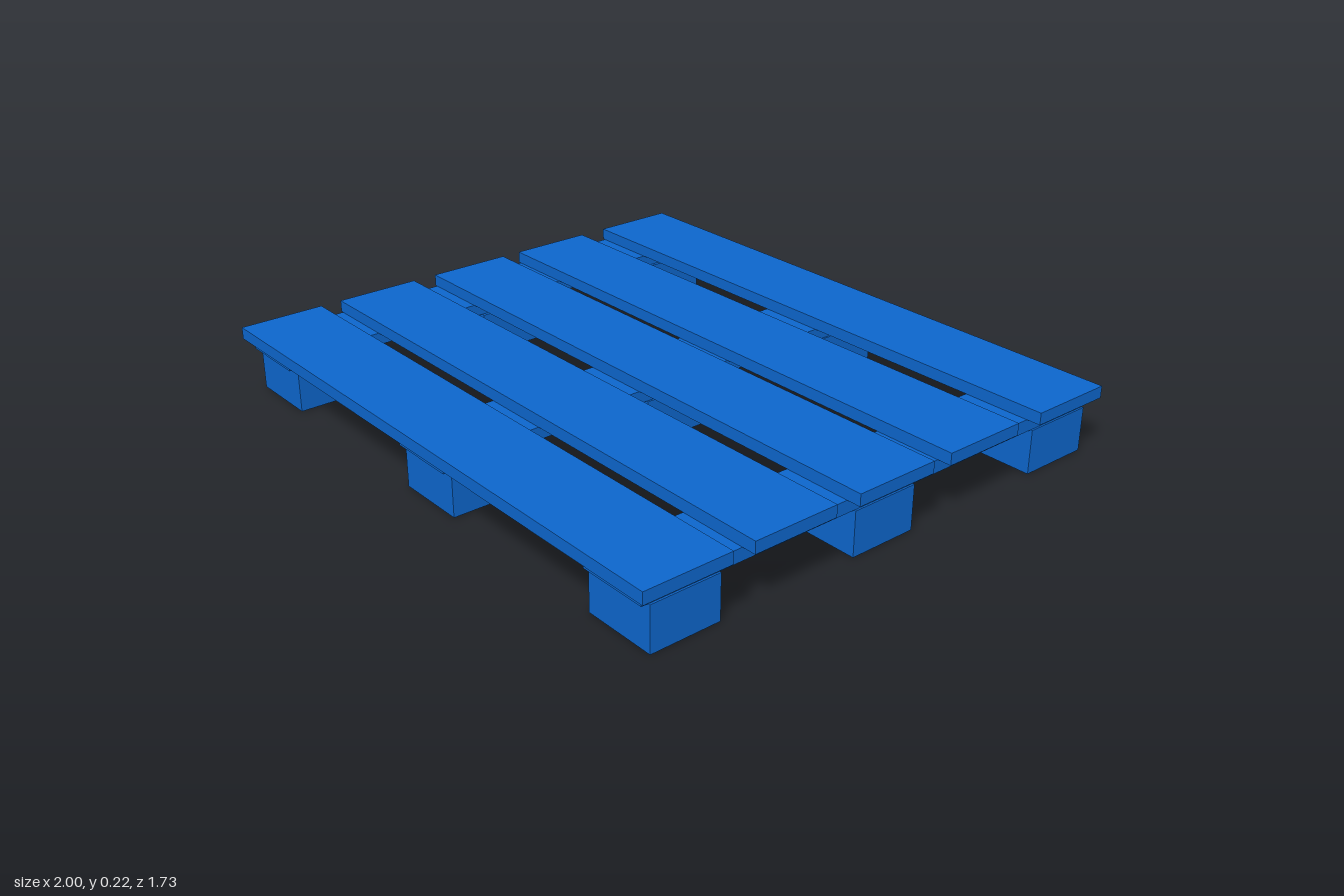
import * as THREE from 'three';

export function createModel() {
  const pallet = new THREE.Group();
  pallet.name = 'pallet';
  const paint = new THREE.MeshStandardMaterial({ color: 0x0d66cc, flatShading: true });

  // Box given by its extent along each axis
  function addBox(name, [x0, x1], [y0, y1], [z0, z1]) {
    const mesh = new THREE.Mesh(new THREE.BoxGeometry(x1 - x0, y1 - y0, z1 - z0), paint);
    mesh.position.set((x0 + x1) / 2, (y0 + y1) / 2, (z0 + z1) / 2);
    mesh.name = name;
    pallet.add(mesh);
  }

  const blockTop = 0.141, stringerTop = 0.181, deckTop = 0.219;

  // Deck boards, slightly unevenly spaced, running left to right
  const boardDepth = 0.282;
  [-0.866, -0.486, -0.204 + 0.068, 0.23, 0.583].forEach((z, i) =>
    addBox(`deckBoard${i + 1}`, [-1, 1], [stringerTop, deckTop], [z, z + boardDepth]));

  // Three stringer boards running front to back, each on a row of three blocks
  const rows = [
    { stringer: [-0.99, -0.763], block: [-0.99, -0.752], back: [-0.594, -0.828] },
    { stringer: [-0.119, 0.106], block: [-0.123, 0.112], back: [-0.6, -0.835] },
    { stringer: [0.731, 0.954], block: [0.722, 0.96], back: [-0.608, -0.846] },
  ];
  rows.forEach(({ stringer, block, back }, i) => {
    addBox(`stringer${i + 1}`, stringer, [blockTop, stringerTop], [-0.845, 0.832]);
    addBox(`frontBlock${i + 1}`, block, [0, blockTop], [0.585, 0.81]);
    addBox(`middleBlock${i + 1}`, block, [0, blockTop], [-0.109, 0.117]);
    addBox(`backBlock${i + 1}`, block, [0, blockTop], [back[1], back[0]]);
  });

  return pallet;
}
